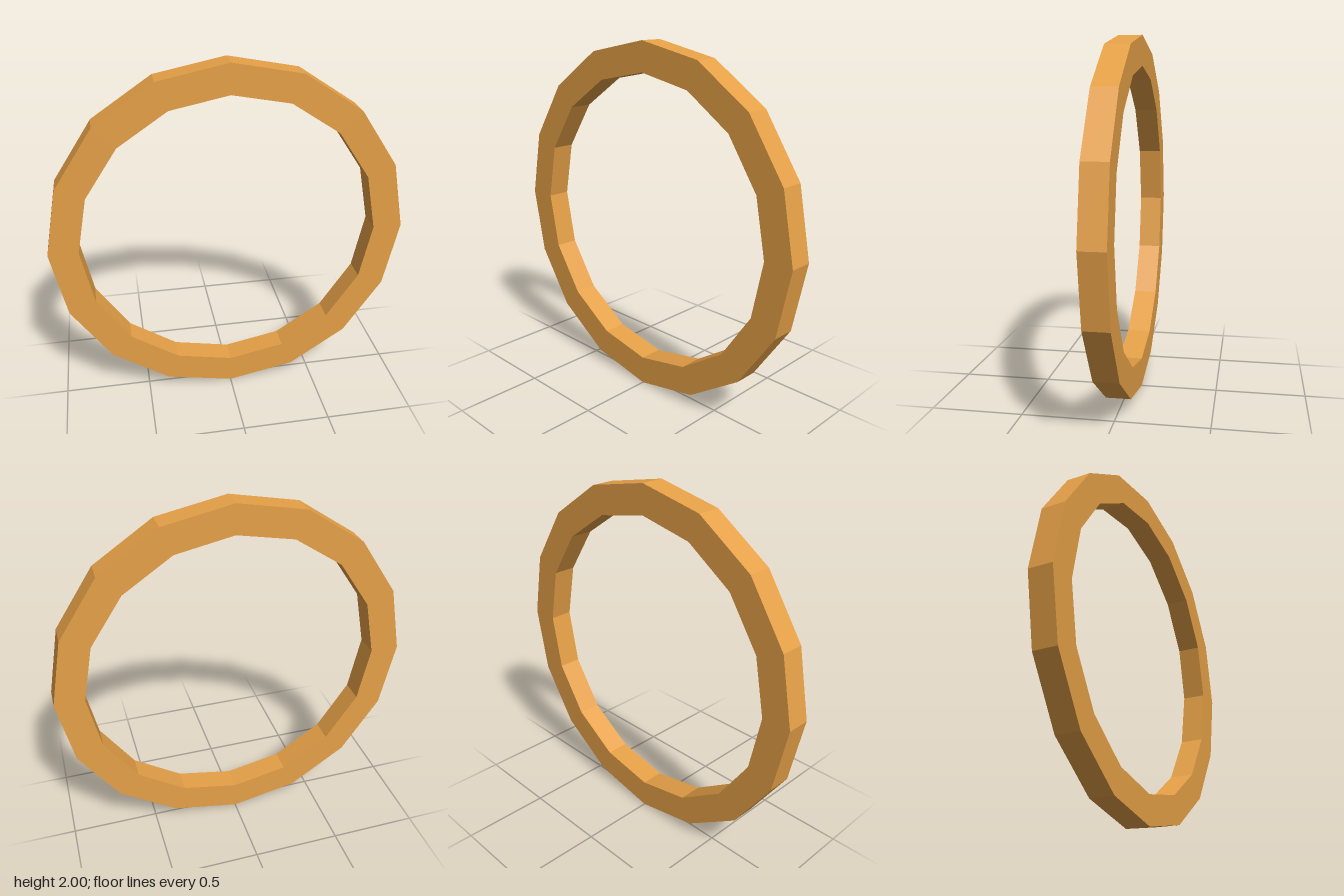
import * as THREE from 'three';

const SIDES = 16;
const OUTER = 1;
const INNER = 0.835;
const DEPTH = 0.135;

// Corners of a regular polygon with a corner pointing straight up
function polygon(radius) {
  return Array.from({ length: SIDES }, (_, i) => {
    const a = (i / SIDES) * Math.PI * 2;
    return new THREE.Vector2(Math.cos(a) * radius, Math.sin(a) * radius);
  });
}

export function createModel() {
  const group = new THREE.Group();
  group.name = 'facetedRing';

  // Flat-sided hoop: polygon outline with a matching polygon hole
  const outline = new THREE.Shape(polygon(OUTER));
  outline.holes.push(new THREE.Path(polygon(INNER).reverse()));
  const geometry = new THREE.ExtrudeGeometry(outline, { depth: DEPTH, bevelEnabled: false });
  geometry.translate(0, OUTER, -DEPTH / 2);

  const material = new THREE.MeshStandardMaterial({ color: 0xe5a047, flatShading: true });
  const ring = new THREE.Mesh(geometry, material);
  ring.name = 'ring';
  group.add(ring);
  return group;
}
